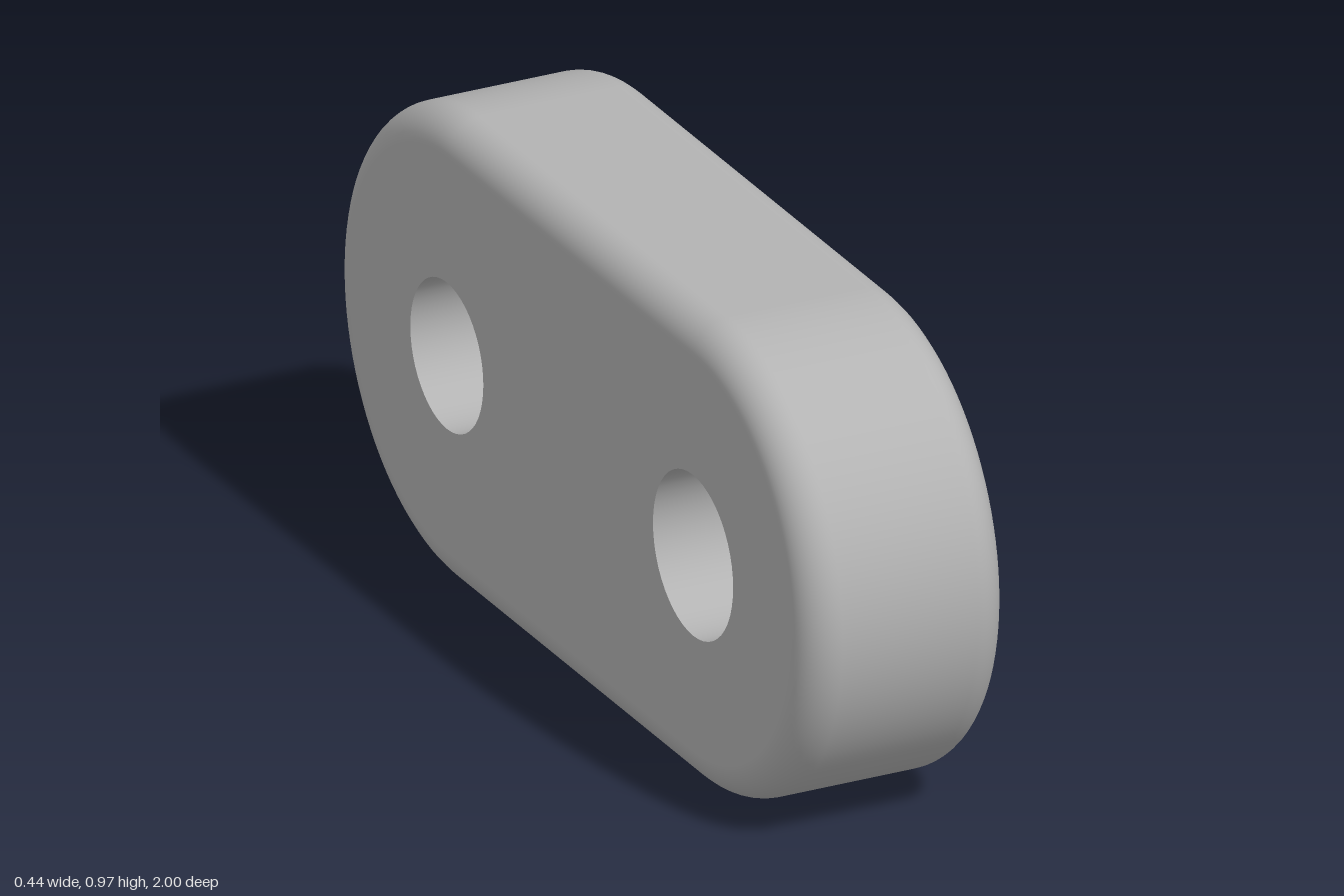
import * as THREE from 'three';

const HALF_W = 0.218;   // half thickness along x
const R = 0.484;        // radius of the rounded ends
const C = 0.516;        // distance of the end centres from the middle
const FILLET = 0.073;
const SEG = 48;

const FRONT_HOLE = 0.168, BACK_HOLE = 0.153, RECESS = 0.21, RECESS_DEPTH = 0.1;

// Outer wall with filleted edges: a profile across x swept round the stadium outline
function rimGeometry() {
  const profile = [];
  const steps = 10;
  for (const side of [-1, 1]) {
    for (let k = 0; k <= steps; k++) {
      const t = (side < 0 ? steps - k : k) / steps * Math.PI / 2;
      profile.push({
        x: side * (HALF_W - FILLET + FILLET * Math.sin(t)),
        r: R - FILLET + FILLET * Math.cos(t),
        nx: side * Math.sin(t), nr: Math.cos(t),
      });
    }
  }
  const outline = [];
  for (const end of [1, -1]) {
    for (let i = 0; i <= SEG; i++) {
      const a = -Math.PI / 2 + (i / SEG) * Math.PI + (end < 0 ? Math.PI : 0);
      outline.push({ c: end * C, z: Math.cos(a), y: Math.sin(a) });
    }
  }
  outline.push(outline[0]);

  const pos = [], nor = [], index = [], n = profile.length;
  outline.forEach((o, i) => {
    profile.forEach((p, j) => {
      pos.push(p.x, p.r * o.y, o.c + p.r * o.z);
      nor.push(p.nx, p.nr * o.y, p.nr * o.z);
      if (i < outline.length - 1 && j < n - 1) {
        const a = i * n + j, b = a + n;
        index.push(a, a + 1, b, a + 1, b + 1, b);
      }
    });
  });
  const g = new THREE.BufferGeometry();
  g.setAttribute('position', new THREE.Float32BufferAttribute(pos, 3));
  g.setAttribute('normal', new THREE.Float32BufferAttribute(nor, 3));
  g.setIndex(index);
  return g;
}

// Flat side face with its two holes; side is +1 or -1 along x
function faceGeometry(side, backRadius) {
  const r = R - FILLET;
  const shape = new THREE.Shape();
  shape.absarc(C, 0, r, -Math.PI / 2, Math.PI / 2, false);
  shape.absarc(-C, 0, r, Math.PI / 2, Math.PI * 1.5, false);
  for (const [z, radius] of [[C, FRONT_HOLE], [-C, backRadius]]) {
    const hole = new THREE.Path();
    hole.absarc(-side * z, 0, radius, 0, Math.PI * 2, true);
    shape.holes.push(hole);
  }
  return new THREE.ShapeGeometry(shape, SEG / 2)
    .rotateY(side * Math.PI / 2)
    .translate(side * HALF_W, 0, 0);
}

// Inward-facing wall of a hole running along x
function boreGeometry(radius, x0, x1, z) {
  const points = [new THREE.Vector2(radius, x1), new THREE.Vector2(radius, x0)];
  return new THREE.LatheGeometry(points, SEG).rotateZ(-Math.PI / 2).translate(0, 0, z);
}

export function createModel() {
  const group = new THREE.Group();
  group.name = 'linkPlate';
  const grey = new THREE.MeshStandardMaterial({ color: 0xb3b3b3 });
  grey.name = 'grey';

  const add = (name, geometry) => {
    const mesh = new THREE.Mesh(geometry, grey);
    mesh.name = name;
    mesh.position.y = R;
    group.add(mesh);
  };

  add('roundedRim', rimGeometry());
  add('leftFace', faceGeometry(1, RECESS));
  add('rightFace', faceGeometry(-1, BACK_HOLE));

  // Plain front hole, and stepped back hole with its ledge
  const ledgeX = HALF_W - RECESS_DEPTH;
  add('frontBore', boreGeometry(FRONT_HOLE, -HALF_W, HALF_W, C));
  add('backBore', boreGeometry(BACK_HOLE, -HALF_W, ledgeX, -C));
  add('recessWall', boreGeometry(RECESS, ledgeX, HALF_W, -C));
  add('recessLedge', new THREE.RingGeometry(BACK_HOLE, RECESS, SEG)
    .rotateY(Math.PI / 2).translate(ledgeX, 0, -C));

  return group;
}
